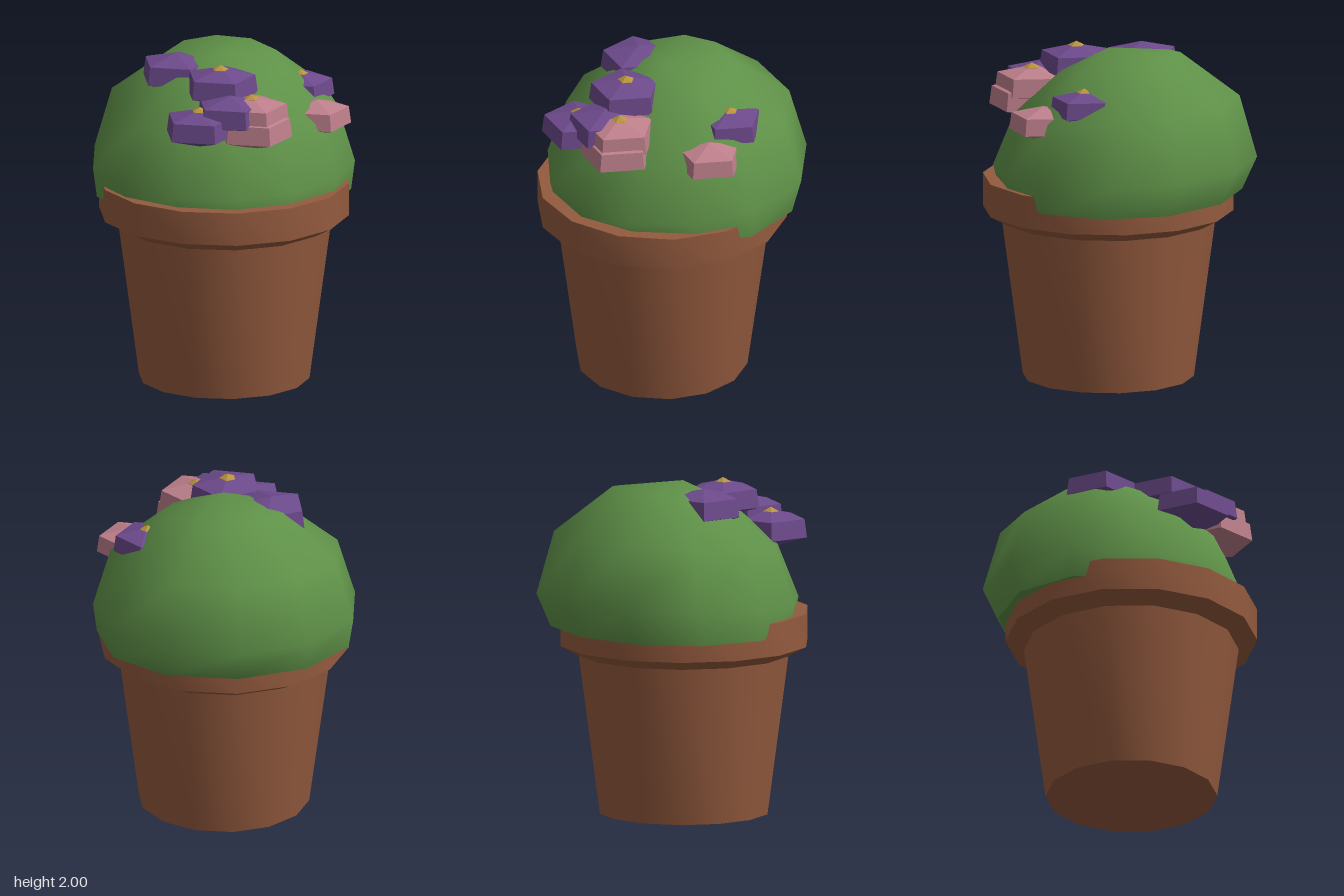
import * as THREE from 'three';
import { toCreasedNormals } from 'three/addons/utils/BufferGeometryUtils.js';

const mat = (color, extra = {}) => new THREE.MeshStandardMaterial({ color, ...extra });
const lathe = (points, sides) =>
  new THREE.LatheGeometry(points.map(([r, y]) => new THREE.Vector2(r, y)), sides);

function makeMesh(name, geometry, material) {
  const mesh = new THREE.Mesh(geometry, material);
  mesh.name = name;
  return mesh;
}

// Lopsided dome, fuller at the back: rings with separate front and back reach and height
function domeGeometry() {
  const sides = 12, zc = 0.06;
  // half width, front z, front y, back z, back y
  const rings = [
    [0.762, 0.71, 1.13, -0.71, 1.13],
    [0.785, 0.755, 1.28, -0.82, 1.34],
    [0.68, 0.61, 1.61, -0.72, 1.72],
    [0.36, 0.33, 1.86, -0.37, 1.985],
  ];
  const pos = [], index = [];
  for (const [w, zf, yf, zb, yb] of rings) {
    for (let i = 0; i < sides; i++) {
      const a = (i / sides) * Math.PI * 2;
      const c = Math.cos(a);
      const z = zc + c * (c > 0 ? zf - zc : zc - zb);
      pos.push(w * Math.sin(a) * (1 - 0.14 * c), yb + (yf - yb) * (z - zb) / (zf - zb), z);
    }
  }
  const top = pos.length / 3;
  pos.push(0, 2, zc);
  for (let r = 0; r < rings.length; r++) {
    for (let i = 0; i < sides; i++) {
      const j = (i + 1) % sides;
      const a = r * sides + i, b = r * sides + j;
      if (r === rings.length - 1) index.push(a, b, top);
      else index.push(a, b, b + sides, a, b + sides, a + sides);
    }
  }
  const g = new THREE.BufferGeometry();
  g.setAttribute('position', new THREE.Float32BufferAttribute(pos, 3));
  g.setIndex(index);
  g.computeVertexNormals();
  return { g, base: pos.slice(0, sides * 3) };
}

export function createModel() {
  const model = new THREE.Group();
  model.name = 'flowerPot';

  // Tapered pot with a flared rim
  const pot = makeMesh('pot', toCreasedNormals(lathe([
    [0, 0], [0.512, 0], [0.64, 0.96], [0.75, 1.02], [0.75, 1.22], [0, 1.22],
  ], 14), 0.5), mat(0x935a3e));
  pot.position.z = 0.068;
  model.add(pot);

  // Foliage dome and its flat underside
  const green = mat(0x5f9148);
  const { g, base } = domeGeometry();
  model.add(makeMesh('foliage', g, green));
  const outline = new THREE.Shape();
  for (let i = 0; i < base.length; i += 3) {
    outline[i ? 'lineTo' : 'moveTo'](base[i], base[i + 2]);
  }
  const under = makeMesh('foliageUnderside', new THREE.ShapeGeometry(outline), green);
  under.rotation.x = Math.PI / 2;
  under.position.y = 1.13;
  model.add(under);

  // Five-sided faceted blossoms, some with small pointed centres
  const purple = mat(0x6d4a8c, { flatShading: true });
  const pink = mat(0xbd7f8b, { flatShading: true });
  const gold = mat(0xb8923f, { flatShading: true });
  const petals = lathe([[0, -0.125], [0.225, -0.055], [0.21, 0.055], [0, 0.105]], 5);
  const centre = lathe([[0.052, 0.08], [0.05, 0.095], [0, 0.12]], 5);
  // x, y, z, scale, material, has a centre
  const blossoms = [
    [-0.05, 1.88, 0.32, 1, purple, true],
    [-0.2, 1.695, 0.565, 1, purple, true],
    [-0.01, 1.765, 0.53, 1, purple, false],
    [0.115, 1.755, 0.53, 1, pink, true],
    [0.13, 1.67, 0.56, 1, pink, false],
    [-0.28, 1.885, 0, 1, purple, false],
    [0.47, 1.745, -0.04, 0.9, purple, true],
    [0.54, 1.635, 0.2, 0.92, pink, false],
  ];
  for (const [x, y, z, s, material, hasCentre] of blossoms) {
    const blossom = new THREE.Group();
    blossom.name = 'blossom';
    blossom.add(makeMesh('petals', petals, material));
    if (hasCentre) blossom.add(makeMesh('blossomCentre', centre, gold));
    blossom.position.set(x, y, z);
    blossom.rotation.y = Math.PI / 2;
    blossom.scale.setScalar(s);
    model.add(blossom);
  }
  return model;
}
